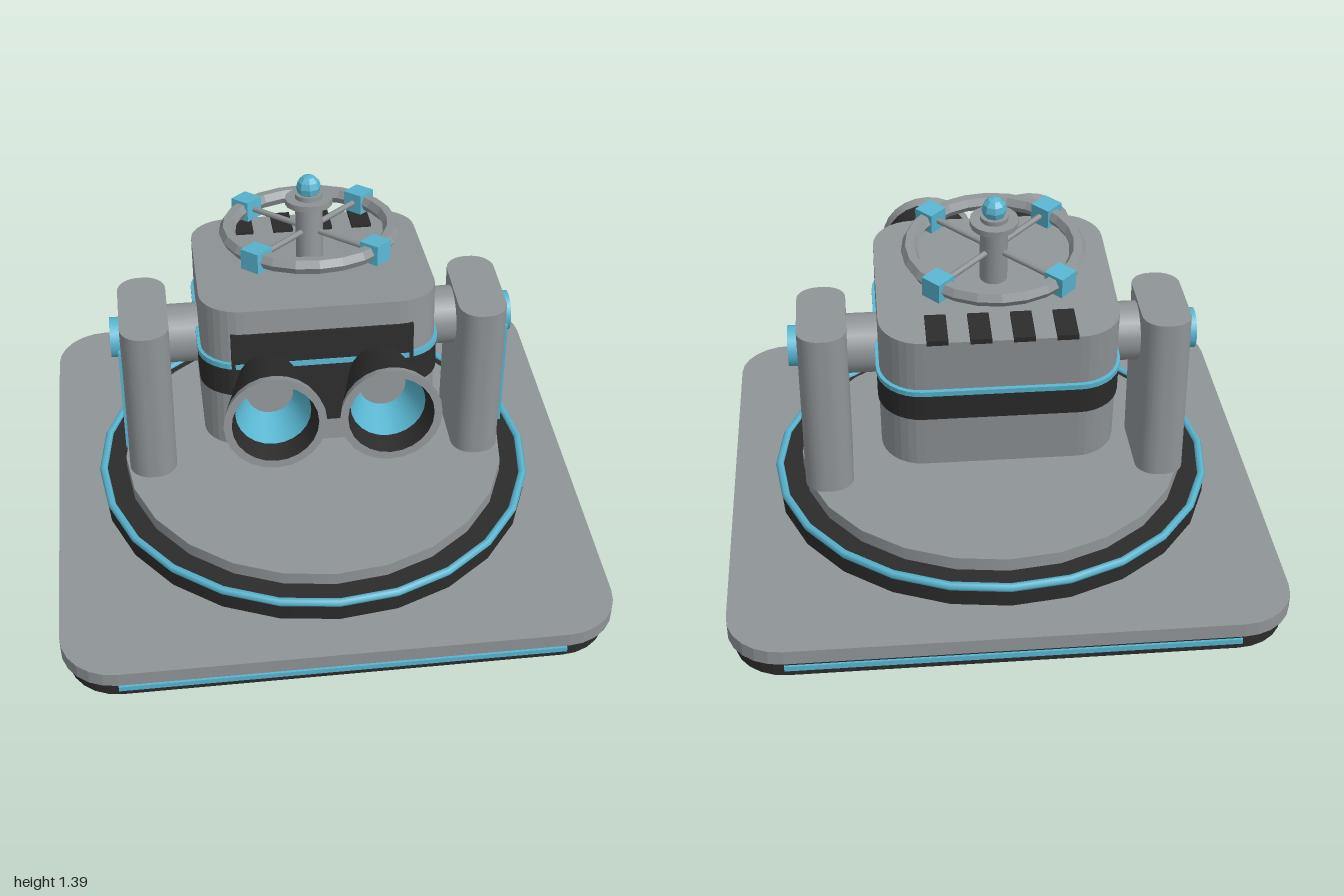
import * as THREE from 'three';

const mat = (name, color) => {
  const m = new THREE.MeshStandardMaterial({ color });
  m.name = name;
  return m;
};

export function createModel() {
  const gray = mat('gray metal', 0x8f9497);
  const dark = mat('dark metal', 0x2b2b2b);
  const blue = mat('blue accent', 0x58b5d0);

  const model = new THREE.Group();
  model.name = 'turret';

  const add = (parent, name, geo, material, x = 0, y = 0, z = 0) => {
    const m = new THREE.Mesh(geo, material);
    m.name = name;
    m.position.set(x, y, z);
    parent.add(m);
    return m;
  };
  const box = (w, h, d) => new THREE.BoxGeometry(w, h, d);
  const cyl = (r, h, n = 24) => new THREE.CylinderGeometry(r, r, h, n);
  const faceted = (g) => {
    const f = g.toNonIndexed();
    f.computeVertexNormals();
    return f;
  };

  // Upright slab with rounded vertical corners, standing on y = 0
  const slab = (w, d, h, r, segs) => {
    const a = w / 2, b = d / 2, q = Math.PI / 2;
    const s = new THREE.Shape();
    s.absarc(a - r, b - r, r, 0, q);
    s.absarc(r - a, b - r, r, q, 2 * q);
    s.absarc(r - a, r - b, r, 2 * q, 3 * q);
    s.absarc(a - r, r - b, r, 3 * q, 4 * q);
    s.closePath();
    return new THREE.ExtrudeGeometry(s, { depth: h, bevelEnabled: false, curveSegments: segs }).rotateX(-q);
  };

  // Base plates with a light strip on each side
  add(model, 'baseSkirt', slab(1.955, 1.955, 0.07, 0.19, 3), dark);
  add(model, 'basePlate', slab(2, 2, 0.055, 0.2, 3), gray, 0, 0.07);
  for (let i = 0; i < 4; i++) {
    const strip = add(model, 'baseStrip', box(1.6, 0.02, 0.01).translate(0, 0.035, 0.981), blue);
    strip.rotation.y = i * Math.PI / 2;
  }

  // Turntable
  add(model, 'turntable', cyl(0.828, 0.08), dark, 0, 0.163);
  const trim = new THREE.TorusGeometry(0.82, 0.016, 6, 24).rotateX(Math.PI / 2);
  add(model, 'turntableTrim', trim, blue, 0, 0.2);
  add(model, 'turntableTop', cyl(0.73, 0.055), gray, 0, 0.2255);

  // Support pillars, axles and hub caps
  const pivotY = 0.78, pivotZ = -0.075;
  for (const s of [1, -1]) {
    const side = new THREE.Group();
    side.name = s > 0 ? 'leftSupport' : 'rightSupport';
    model.add(side);
    add(side, 'pillar', slab(0.18, 0.4, 0.655, 0.08, 6), gray, s * 0.626, 0.25, pivotZ + 0.005);
    add(side, 'axle', cyl(0.11, 0.2).rotateZ(Math.PI / 2), gray, s * 0.47, pivotY, pivotZ);
    add(side, 'hubCap', cyl(0.075, 0.06).rotateZ(Math.PI / 2), blue, s * 0.722, pivotY, pivotZ);
    add(side, 'pillarStrip', box(0.03, 0.45, 0.02), blue, s * 0.71, 0.58, 0.053);
  }

  // Head, tilted on the axles
  const head = new THREE.Group();
  head.name = 'head';
  head.position.set(0, pivotY, pivotZ);
  head.rotation.x = -0.12;
  model.add(head);
  add(head, 'headBody', slab(0.85, 0.75, 0.55, 0.15, 4), gray, 0, -0.275);
  add(head, 'headBand', slab(0.866, 0.766, 0.11, 0.156, 4), dark, 0, -0.06);
  add(head, 'headStripe', slab(0.874, 0.778, 0.02, 0.16, 4), blue, 0, 0.05);
  add(head, 'facePlate', box(0.65, 0.37, 0.03), dark, 0, 0, 0.37);
  for (let i = 0; i < 4; i++) {
    add(head, 'vent', box(0.075, 0.02, 0.15), dark, -0.225 + i * 0.15, 0.276, -0.303);
  }

  // Flared eyes: profiles are [radius, z] turned about the z axis
  const turned = (pts) =>
    new THREE.LatheGeometry(pts.map(([r, z]) => new THREE.Vector2(r, z)), 24).rotateX(Math.PI / 2);
  for (const s of [1, -1]) {
    const eye = new THREE.Group();
    eye.name = s > 0 ? 'leftEye' : 'rightEye';
    eye.position.x = s * 0.2;
    head.add(eye);
    add(eye, 'eyeBarrel', turned([[0.102, 0.37], [0.169, 0.64]]), dark);
    add(eye, 'eyeTip', turned([[0.169, 0.64], [0.178, 0.68]]), gray);
    add(eye, 'eyeRim', turned([[0.178, 0.68], [0.15, 0.68]]), gray);
    add(eye, 'eyeInside', turned([[0.15, 0.68], [0.132, 0.6]]), dark);
    add(eye, 'eyeGlow', turned([[0.132, 0.6], [0.083, 0.47]]), blue);
    add(eye, 'eyeLens', new THREE.CircleGeometry(0.084, 24), gray, 0, 0, 0.47);
  }

  // Mast with collar and beacon
  add(head, 'mast', cyl(0.05, 0.28, 16), gray, 0, 0.4);
  add(head, 'mastCollar', cyl(0.087, 0.022, 16), gray, 0, 0.512);
  add(head, 'mastNeck', cyl(0.025, 0.04, 12), gray, 0, 0.53);
  add(head, 'beacon', faceted(new THREE.SphereGeometry(0.045, 8, 6)), blue, 0, 0.565);

  // Ring antenna with crossed spokes and corner blocks
  const ring = new THREE.Group();
  ring.name = 'ringAntenna';
  ring.position.y = 0.4;
  head.add(ring);
  const hoop = new THREE.TorusGeometry(0.3, 0.03, 6, 24).rotateX(Math.PI / 2);
  add(ring, 'hoop', faceted(hoop), gray);
  for (let i = 0; i < 4; i++) {
    const arm = new THREE.Group();
    arm.name = 'ringArm';
    arm.rotation.y = Math.PI / 4 + i * Math.PI / 2;
    ring.add(arm);
    add(arm, 'spoke', cyl(0.011, 0.29, 8).rotateZ(Math.PI / 2), gray, 0.145);
    add(arm, 'ringBlock', box(0.078, 0.075, 0.078), blue, 0.3);
  }

  return model;
}
